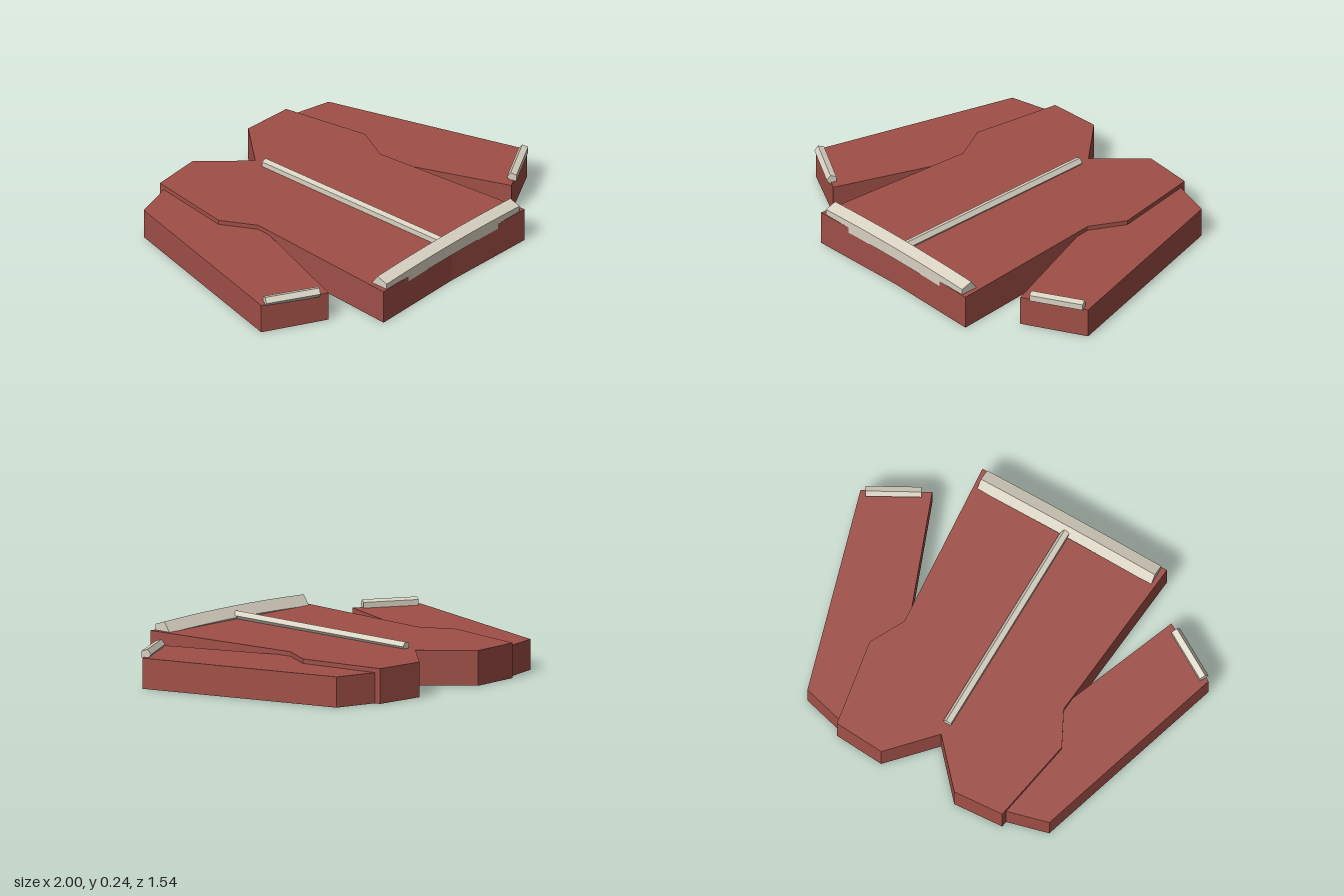
import * as THREE from 'three';

const UP = new THREE.Vector3(0, 1, 0);

// Flat cloth slab: outline given as [x, z], lying on y = 0
function slab(name, outline, height, material) {
  const shape = new THREE.Shape(outline.map(([x, z]) => new THREE.Vector2(x, z)));
  const geo = new THREE.ExtrudeGeometry(shape, { depth: height, bevelEnabled: false });
  geo.rotateX(Math.PI / 2).translate(0, height, 0);
  const mesh = new THREE.Mesh(geo, material);
  mesh.name = name;
  return mesh;
}

// Five-sided capped trim along a path; one ridge points sideways (up x direction)
function trim(name, path, radius, material) {
  const pts = path.map((p) => new THREE.Vector3(...p));
  const along = pts[pts.length - 1].clone().sub(pts[0]).normalize();
  const side = UP.clone().cross(along).normalize();
  const rings = pts.map((p) => Array.from({ length: 5 }, (_, j) => {
    const a = (j / 5) * Math.PI * 2;
    return p.clone().addScaledVector(side, radius * Math.cos(a)).addScaledVector(UP, radius * Math.sin(a));
  }));
  const tris = [];
  for (let i = 0; i < rings.length - 1; i++) {
    const A = rings[i], B = rings[i + 1];
    for (let j = 0; j < 5; j++) {
      const k = (j + 1) % 5;
      tris.push(A[j], A[k], B[k], A[j], B[k], B[j]);
    }
  }
  const first = rings[0], last = rings[rings.length - 1];
  for (let j = 1; j < 4; j++) {
    tris.push(first[0], first[j + 1], first[j], last[0], last[j], last[j + 1]);
  }
  const geo = new THREE.BufferGeometry().setFromPoints(tris);
  geo.computeVertexNormals();
  const mesh = new THREE.Mesh(geo, material);
  mesh.name = name;
  return mesh;
}

export function createModel() {
  const cloth = new THREE.MeshStandardMaterial({ color: 0xa04f47 });
  cloth.name = 'red cloth';
  const cream = new THREE.MeshStandardMaterial({ color: 0xd8d2c2 });
  cream.name = 'cream trim';
  const group = new THREE.Group();
  group.name = 'jacket';

  // Body: half outline from shoulder to hem, mirrored, with neck notch and hem centre
  const half = [[0.21, -0.773], [0.475, -0.755], [0.552, -0.3], [0.458, -0.12], [0.53, 0.77]];
  const mirrored = half.map(([x, z]) => [-x, z]).reverse();
  group.add(slab('body', [[0, -0.543], ...half, [0, 0.755], ...mirrored], 0.178, cloth));

  // Sleeves, tucked into the body
  const sleeve = [[0.44, -0.735], [0.695, -0.668], [1, 0.375], [0.687, 0.545], [0.43, -0.13]];
  for (const [label, s] of [['left', 1], ['right', -1]]) {
    group.add(slab(`${label}Sleeve`, sleeve.map(([x, z]) => [s * x, z]), 0.155, cloth));
  }

  // Hem band, gently arched
  const hem = [];
  for (let i = 0; i <= 8; i++) {
    const x = -0.5 + i / 8;
    hem.push([x, 0.187 - 0.048 * x * x, 0.72]);
  }
  group.add(trim('hemTrim', hem, 0.055, cream));

  // Front closure and cuffs
  group.add(trim('frontTrim', [[0, 0.19, -0.48], [0, 0.196, 0.685]], 0.024, cream));
  group.add(trim('leftCuff', [[0.73, 0.17, 0.513], [0.973, 0.17, 0.377]], 0.027, cream));
  group.add(trim('rightCuff', [[-0.727, 0.168, 0.516], [-0.973, 0.168, 0.374]], 0.027, cream));

  return group;
}
